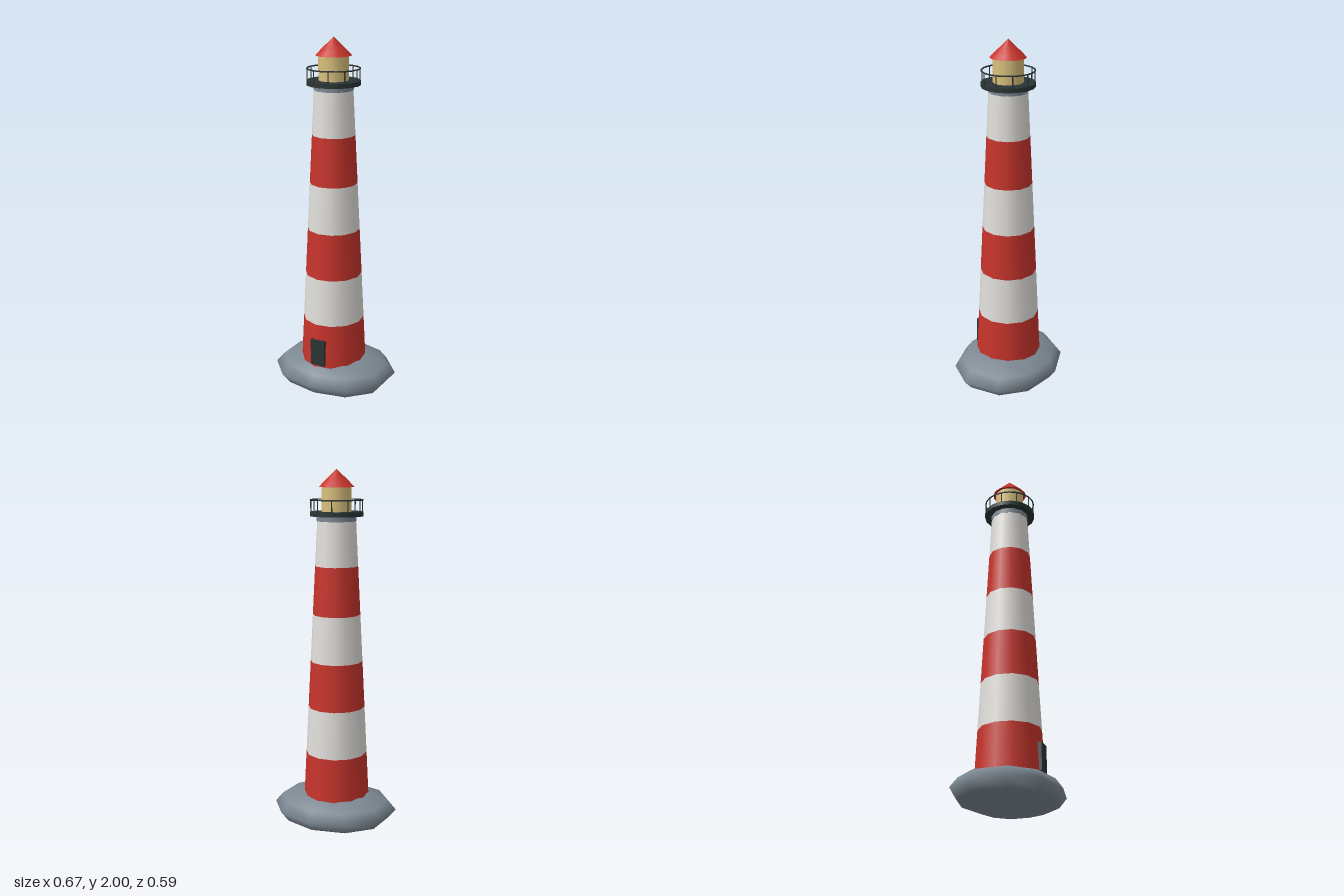
import * as THREE from 'three';

const material = (name, color) => {
  const m = new THREE.MeshStandardMaterial({ color });
  m.name = name;
  return m;
};

export function createModel() {
  const red = material('red paint', 0xc8342c);
  const white = material('white paint', 0xe2e0dc);
  const stone = material('grey stone', 0x7d8993);
  const dark = material('dark iron', 0x2b3434);
  const glow = material('lantern yellow', 0xd9c07c);

  const model = new THREE.Group();
  model.name = 'lighthouse';
  const tower = new THREE.Group();
  tower.name = 'tower';
  tower.position.set(-0.008, 0, 0.013);
  model.add(tower);

  const add = (parent, name, geometry, mat, x = 0, y = 0, z = 0) => {
    const mesh = new THREE.Mesh(geometry, mat);
    mesh.name = name;
    mesh.position.set(x, y, z);
    parent.add(mesh);
    return mesh;
  };
  // Tapered ring between two heights, closed unless told otherwise
  const drum = (name, mat, y0, y1, r0, r1, sides = 12, open = false) =>
    add(tower, name, new THREE.CylinderGeometry(r1, r0, y1 - y0, sides, 1, open), mat, 0, (y0 + y1) / 2);

  // Rock: squashed ten-sided ball, a little fuller towards the front
  const rock = new THREE.SphereGeometry(1, 10, 6);
  rock.rotateY(Math.PI / 2);
  rock.scale(0.354, 0.108, 0.293);
  const p = rock.attributes.position;
  for (let i = 0; i < p.count; i++) {
    const z = p.getZ(i), x = p.getX(i);
    if (z > 0.03 && Math.abs(x) > 0.03) p.setZ(i, z + 0.07 * Math.abs(x));
    p.setX(i, THREE.MathUtils.clamp(x, -0.337, 0.337));
  }
  add(model, 'rock', rock, stone, 0, 0.108, 0);

  // Tower: six striped bands on one straight taper
  const heights = [0.17, 0.435, 0.7, 0.96, 1.22, 1.485, 1.745];
  const radius = (y) => 0.184 - (y - 0.17) * 0.0508;
  for (let i = 0; i < 6; i++) {
    const [a, b] = [heights[i], heights[i + 1]];
    const band = drum(`band${i + 1}`, i % 2 ? white : red, a, b, radius(a), radius(b));
    band.rotation.y = -0.105;
  }
  drum('collar', stone, 1.725, 1.756, 0.107, 0.107);

  // Door at the foot of the tower
  add(model, 'door', new THREE.BoxGeometry(0.086, 0.15, 0.03), dark, -0.008, 0.271, 0.184);

  // Gallery with railing
  drum('galleryFloor', dark, 1.752, 1.776, 0.145, 0.145, 16);
  const rail = add(tower, 'rail', new THREE.TorusGeometry(0.141, 0.004, 6, 20), dark, 0, 1.838);
  rail.rotation.x = Math.PI / 2;
  const postGeometry = new THREE.CylinderGeometry(0.003, 0.003, 0.066, 5);
  for (let i = 0; i < 10; i++) {
    const a = (i / 10) * Math.PI * 2;
    add(tower, `post${i + 1}`, postGeometry, dark, Math.cos(a) * 0.139, 1.806, Math.sin(a) * 0.139);
  }

  // Lantern room and two-stage roof
  drum('lantern', glow, 1.774, 1.907, 0.081, 0.081, 14);
  drum('roofEave', red, 1.905, 1.933, 0.097, 0.07, 14);
  drum('roofCap', red, 1.933, 2.0, 0.07, 0, 14, true);

  return model;
}
